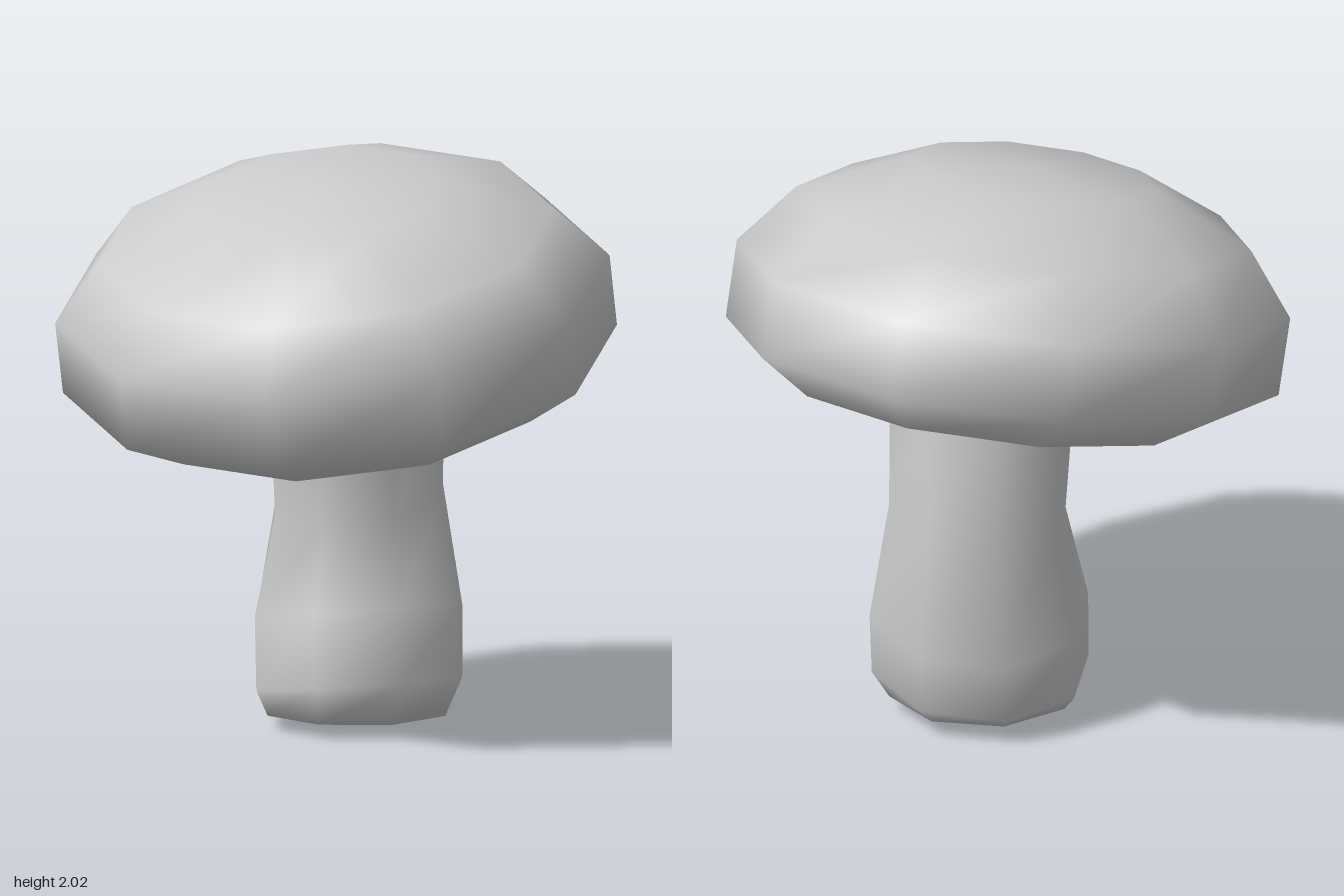
import * as THREE from 'three';

// Lofts rings listed bottom to top: [cx, cy, cz, rx, rz, slopeX, slopeZ].
// A zero radius closes the shell with a point; the slopes tilt each ring.
function loft(rings, sides, turn = 0) {
  const pos = [], index = [];
  for (const [cx, cy, cz, rx, rz, sx, sz] of rings) {
    for (let i = 0; i < sides; i++) {
      const a = ((i + turn) / sides) * Math.PI * 2;
      const dx = rx * Math.sin(a), dz = rz * Math.cos(a);
      pos.push(cx + dx, cy + sx * dx + sz * dz, cz + dz);
    }
  }
  for (let r = 0; r < rings.length - 1; r++) {
    for (let i = 0; i < sides; i++) {
      const j = (i + 1) % sides;
      const a = r * sides + i, b = r * sides + j;
      const c = a + sides, d = b + sides;
      if (rings[r][3] > 0) index.push(a, b, d);
      if (rings[r + 1][3] > 0) index.push(a, d, c);
    }
  }
  // Points share one normal so the shading runs smoothly over the tips
  const geo = new THREE.BufferGeometry();
  geo.setAttribute('position', new THREE.Float32BufferAttribute(pos, 3));
  geo.setIndex(index);
  geo.computeVertexNormals();
  const n = geo.attributes.normal;
  rings.forEach((ring, r) => {
    if (ring[3] > 0) return;
    const sum = new THREE.Vector3(), v = new THREE.Vector3();
    for (let i = 0; i < sides; i++) sum.add(v.fromBufferAttribute(n, r * sides + i));
    sum.normalize();
    for (let i = 0; i < sides; i++) n.setXYZ(r * sides + i, sum.x, sum.y, sum.z);
  });
  return geo;
}

export function createModel() {
  const group = new THREE.Group();
  group.name = 'mushroom';
  const material = new THREE.MeshStandardMaterial({ color: 0xcccccc });
  const add = (name, geometry) => {
    const mesh = new THREE.Mesh(geometry, material);
    mesh.name = name;
    group.add(mesh);
  };

  // Cap leans towards the front and the right
  const capRing = (x, y, z, r) => [x, y, z, r, r, 0.175, -0.175];
  const rim = capRing(0.06, 1.17, -0.06, 0.75);
  add('cap', loft([
    rim,
    capRing(0.02, 1.30, -0.035, 0.967),
    capRing(-0.035, 1.56, 0.03, 0.968),
    capRing(-0.085, 1.76, 0.09, 0.795),
    capRing(-0.13, 1.915, 0.13, 0.43),
    capRing(-0.14, 1.935, 0.14, 0),
  ], 10));

  // Flat underside with a hard edge against the cap
  add('capUnderside', loft([capRing(0.06, 1.17, -0.06, 0), rim], 10));

  // Bulging stem, pinched under the cap and run up into it
  add('stem', loft([
    [0.09, 0.0, -0.06, 0, 0, 0, 0],
    [0.095, 0.05, -0.065, 0.335, 0.335, 0, 0],
    [0.105, 0.145, -0.065, 0.387, 0.387, 0.01, 0.14],
    [0.12, 0.39, -0.11, 0.39, 0.388, -0.01, 0.2],
    [0.13, 0.78, -0.13, 0.315, 0.312, 0.12, -0.05],
    [0.095, 1.24, -0.06, 0.33, 0.335, 0.175, -0.175],
  ], 8));

  return group;
}
